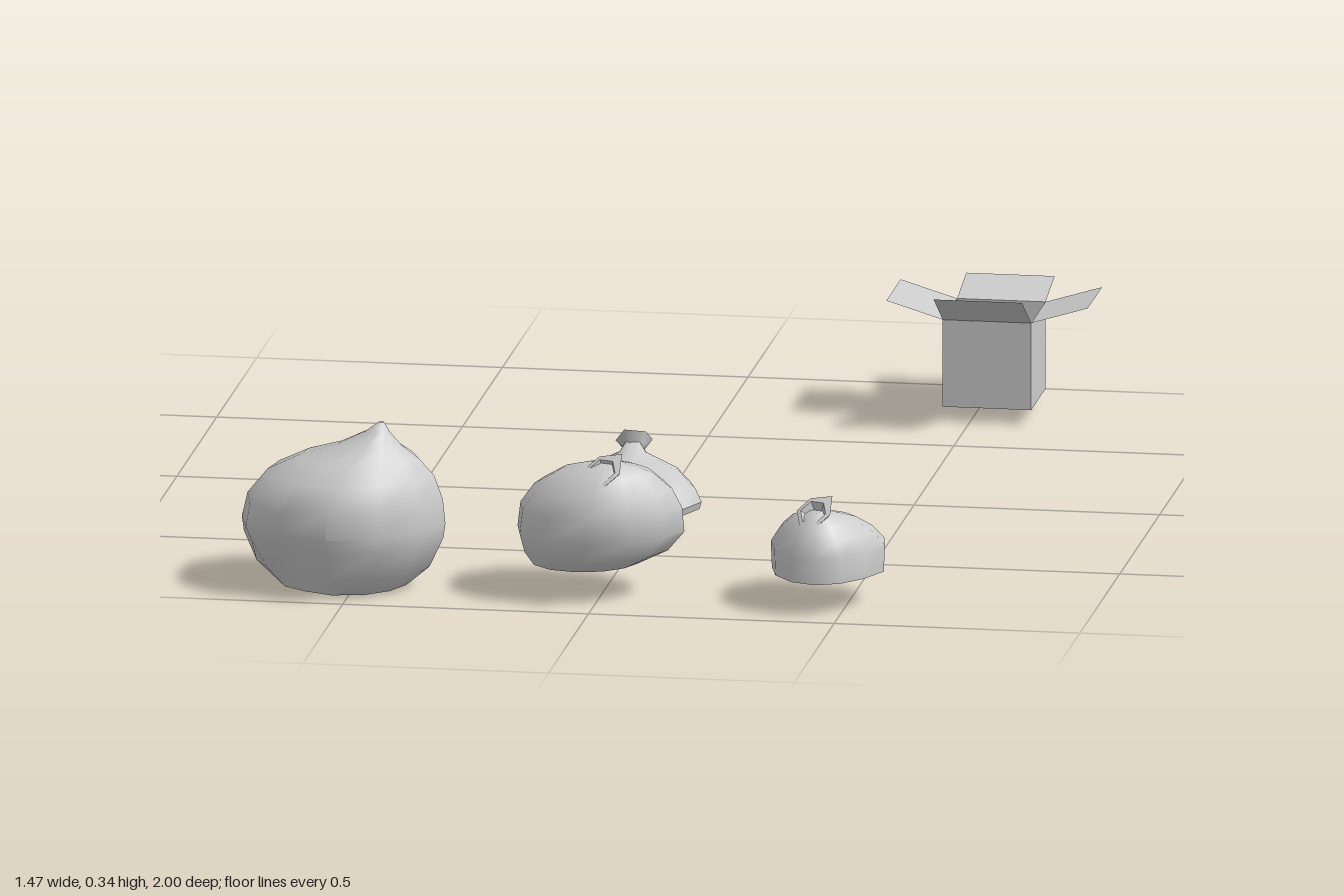
import * as THREE from 'three';
import { toCreasedNormals } from 'three/addons/utils/BufferGeometryUtils.js';

const SIDES = 12;
const bagMaterial = new THREE.MeshStandardMaterial({ color: 0xcccccc });
const sheetMaterial = new THREE.MeshStandardMaterial({ color: 0xcccccc, side: THREE.DoubleSide });
const lerp = THREE.MathUtils.lerp;

// Skin loops of equal point count, listed from bottom to top
function loft(loops, capped) {
  const n = loops[0].length;
  const index = [];
  for (let j = 0; j < loops.length - 1; j++) {
    for (let i = 0; i < n; i++) {
      const a = j * n + i, b = j * n + (i + 1) % n;
      index.push(a, a + n, b, b, a + n, b + n);
    }
  }
  if (capped) {
    const top = (loops.length - 1) * n;
    for (let i = 1; i < n - 1; i++) index.push(0, i, i + 1, top, top + i + 1, top + i);
  }
  const geo = new THREE.BufferGeometry().setFromPoints(loops.flat());
  geo.setIndex(index);
  return toCreasedNormals(geo, 0.85);
}

// Slumped sack: an oval belly that narrows to the foot and gathers towards an off-centre peak.
// foot rows are [y, scale]; crown rows are [y, share of the way to the peak]
function sack({ centre, half, peak, foot, crown, taper = 0, footShift = 0, dent }) {
  const ring = (y, scale, cx, cz) => {
    const loop = [];
    for (let i = 0; i < SIDES; i++) {
      const a = (i / SIDES) * Math.PI * 2;
      const r = scale * (1.01 + 0.025 * Math.sin(3 * a + 2) + 0.015 * Math.cos(5 * a));
      const p = new THREE.Vector3(
        cx + half[0] * r * Math.cos(a) * (1 - taper * Math.sin(a)), y,
        cz + half[1] * r * Math.sin(a));
      // Fold pressed into the cloth
      if (dent) {
        const pull = Math.max(0, 1 - p.distanceTo(dent) / 0.13) * 0.3;
        p.lerp(new THREE.Vector3(cx, y, cz), pull);
      }
      loop.push(p);
    }
    return loop;
  };
  const loops = [
    ...foot.map(([y, s]) => ring(y, s, centre[0] + footShift * (1 - s), centre[1])),
    ...crown.map(([y, s]) => ring(y, 1 - s, lerp(centre[0], peak[0], s), lerp(centre[1], peak[1], s))),
  ];
  const mesh = new THREE.Mesh(loft(loops, true), bagMaterial);
  mesh.name = 'sackBody';
  return mesh;
}

// Flared, gathered neck with a hollow mouth and one pulled-up corner
function tiedNeck(x, y, z, radius, facing) {
  const n = new THREE.Vector3(-0.22, 0.75, 0.65 * facing).normalize();
  const u = new THREE.Vector3(0, 1, 0).cross(n).normalize();
  const v = n.clone().cross(u);
  const c = new THREE.Vector3(x, y, z);
  const profile = [[-1.3, 0.75], [-0.6, 0.5], [0, 1], [0.05, 0.75], [-0.45, 0.4], [-0.45, 0.01]];
  const loops = profile.map(([h, r]) => {
    const loop = [];
    for (let i = 0; i < 6; i++) {
      const a = -(i / 6) * Math.PI * 2;
      const k = radius * r * (i === 5 && h === 0 ? 1.35 : 1);
      loop.push(c.clone().addScaledVector(n, h * radius)
        .addScaledVector(u, Math.cos(a) * k).addScaledVector(v, Math.sin(a) * k));
    }
    return loop;
  });
  const mesh = new THREE.Mesh(loft(loops, false), sheetMaterial);
  mesh.name = 'tiedNeck';
  return mesh;
}

function bag(name, body, neck) {
  const group = new THREE.Group();
  group.name = name;
  group.add(body, neck);
  return group;
}

// Open carton: floor, four walls and four raised flaps
function openBox() {
  const box = new THREE.Group();
  box.name = 'openBox';
  const size = 0.18, half = size / 2, run = 0.115;
  const sheet = (name, w, h, parent) => {
    const mesh = new THREE.Mesh(new THREE.PlaneGeometry(w, h), sheetMaterial);
    mesh.name = name;
    parent.add(mesh);
    return mesh;
  };
  sheet('floor', size, size, box).rotation.x = -Math.PI / 2;
  // Flap rise for each side in turn
  const flaps = [['front', 0.07], ['left', 0.035], ['back', 0.025], ['right', 0.035]];
  flaps.forEach(([name, rise], i) => {
    const side = new THREE.Group();
    side.name = name + 'Side';
    side.rotation.y = (i * Math.PI) / 2;
    sheet(name + 'Wall', size, size, side).position.set(0, half, half);
    const flap = sheet(name + 'Flap', size, Math.hypot(run, rise), side);
    flap.position.set(0, size + rise / 2, half + run / 2);
    flap.rotation.x = Math.atan2(run, rise);
    box.add(side);
  });
  box.position.set(0.535, 0.03, -0.79);
  return box;
}

export function createModel() {
  const model = new THREE.Group();

  // Tall bag with a pointed crest
  model.add(bag('largeBag', sack({
    centre: [-0.535, 0.82], half: [0.205, 0.18], peak: [-0.445, 0.84],
    foot: [[0, 0.63], [0.04, 0.85], [0.1, 0.98], [0.13, 1]],
    crown: [[0.18, 0.04], [0.23, 0.18], [0.265, 0.42], [0.29, 0.68], [0.32, 0.88], [0.34, 0.97]],
    dent: new THREE.Vector3(-0.63, 0.05, 0.95),
  }), tiedNeck(-0.5, 0.275, 0.89, 0.042, 1)));

  // Round bag
  model.add(bag('mediumBag', sack({
    centre: [-0.012, 0.808], half: [0.168, 0.143], peak: [0.03, 0.865], footShift: -0.08,
    foot: [[0.06, 0.63], [0.09, 0.87], [0.13, 1]],
    crown: [[0.18, 0.03], [0.22, 0.17], [0.255, 0.44], [0.27, 0.66], [0.28, 0.87]],
  }), tiedNeck(0.01, 0.268, 0.89, 0.04, 1)));

  // Low bag, narrower towards the front
  model.add(bag('smallBag', sack({
    centre: [0.453, 0.815], half: [0.115, 0.135], peak: [0.445, 0.885], taper: 0.15,
    foot: [[0.065, 0.98], [0.12, 1]],
    crown: [[0.15, 0.18], [0.175, 0.42], [0.19, 0.67], [0.2, 0.87]],
  }), tiedNeck(0.44, 0.2, 0.89, 0.038, 1)));

  // Flattest bag, its neck turned to the back
  model.add(bag('flatBag', sack({
    centre: [-0.03, 0.3], half: [0.14, 0.14], peak: [-0.04, 0.195],
    foot: [[0.05, 0.97], [0.065, 1]],
    crown: [[0.09, 0.09], [0.115, 0.3], [0.13, 0.6], [0.14, 0.8], [0.16, 0.9]],
  }), tiedNeck(-0.04, 0.158, 0.18, 0.038, -1)));

  model.add(openBox());
  return model;
}
